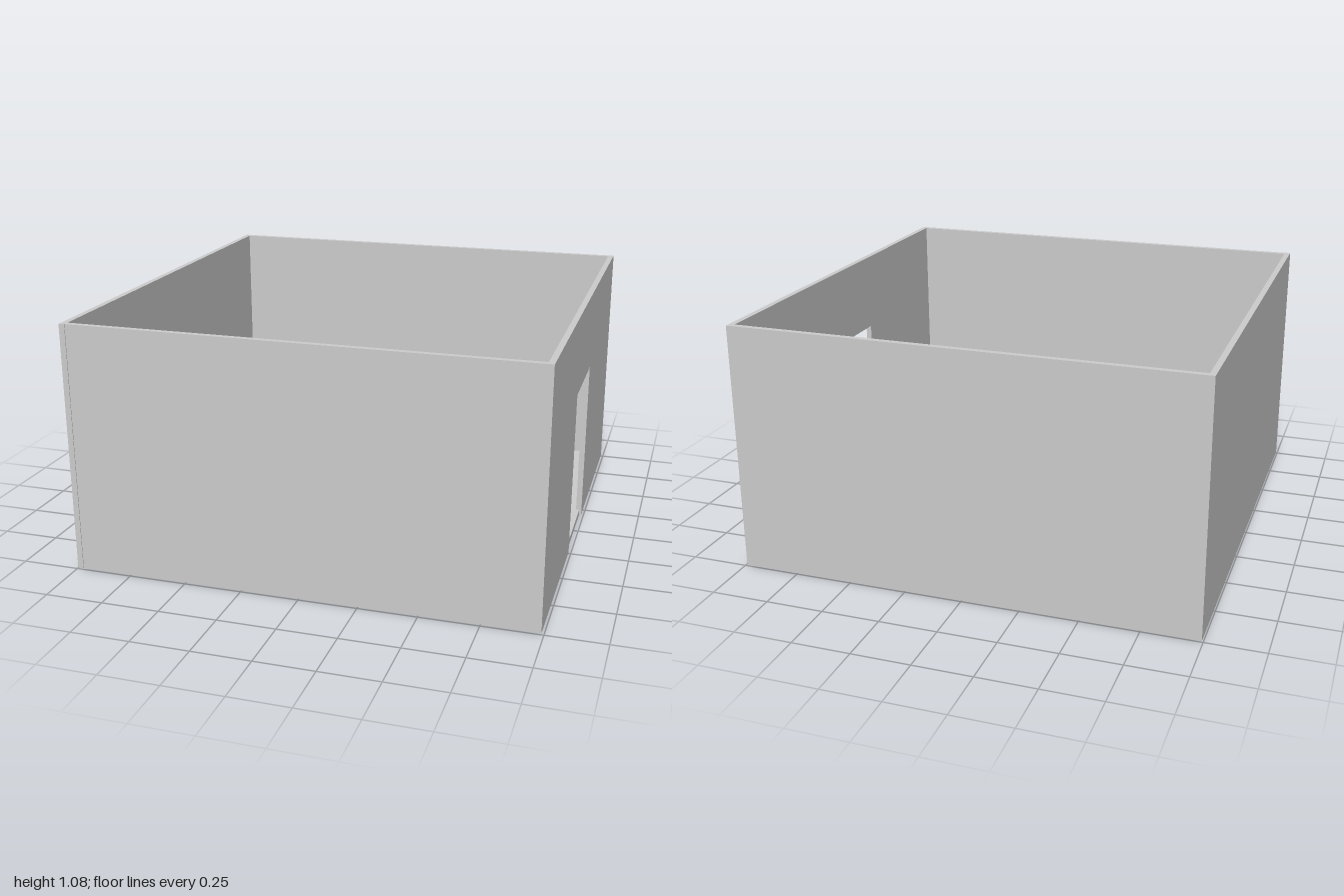
import * as THREE from 'three';

const T = 0.025;      // wall thickness
const BASE = 0.005;   // underside of the walls
const TOP = 1.08;     // top of the walls

const material = new THREE.MeshStandardMaterial({ color: 0xcccccc, flatShading: true });

// Box given by its lower and upper corner
function block(name, [x0, y0, z0], [x1, y1, z1]) {
  const geometry = new THREE.BoxGeometry(x1 - x0, y1 - y0, z1 - z0);
  geometry.translate((x0 + x1) / 2, (y0 + y1) / 2, (z0 + z1) / 2);
  const mesh = new THREE.Mesh(geometry, material);
  mesh.name = name;
  return mesh;
}

// Side wall in the zy plane with a doorway open at the bottom
function doorWall(name, xOuter, zBack, zFront, door) {
  const outline = [
    [zBack, BASE], [door.back, BASE], [door.back, door.top],
    [door.front, door.top], [door.front, BASE], [zFront, BASE],
    [zFront, TOP], [zBack, TOP],
  ];
  // shape x runs along -z after the quarter turn
  const shape = new THREE.Shape(outline.map(([z, y]) => new THREE.Vector2(-z, y)));
  const geometry = new THREE.ExtrudeGeometry(shape, { depth: T, bevelEnabled: false });
  geometry.rotateY(Math.PI / 2);
  geometry.translate(xOuter - T, 0, 0);
  const mesh = new THREE.Mesh(geometry, material);
  mesh.name = name;
  return mesh;
}

export function createModel() {
  const room = new THREE.Group();
  room.name = 'room';

  // Floor slab, slightly lower than the walls
  room.add(block('floor', [-0.98, 0, -0.975], [0.98, 0.027, 0.985]));

  // Plain walls
  room.add(block('leftSideWall', [-0.995, BASE, -1], [-0.995 + T, TOP, 1]));
  room.add(block('backWall', [-0.995 + T, BASE, -1], [0.99 - T, TOP, -1 + T]));
  room.add(block('frontWall', [-0.995 + T, BASE, 0.997 - T], [0.99 - T, TOP, 0.997]));

  // Wall with the doorway
  room.add(doorWall('doorWall', 0.99, -1, 0.997, { back: -0.183, front: 0.245, top: 0.73 }));

  return room;
}
